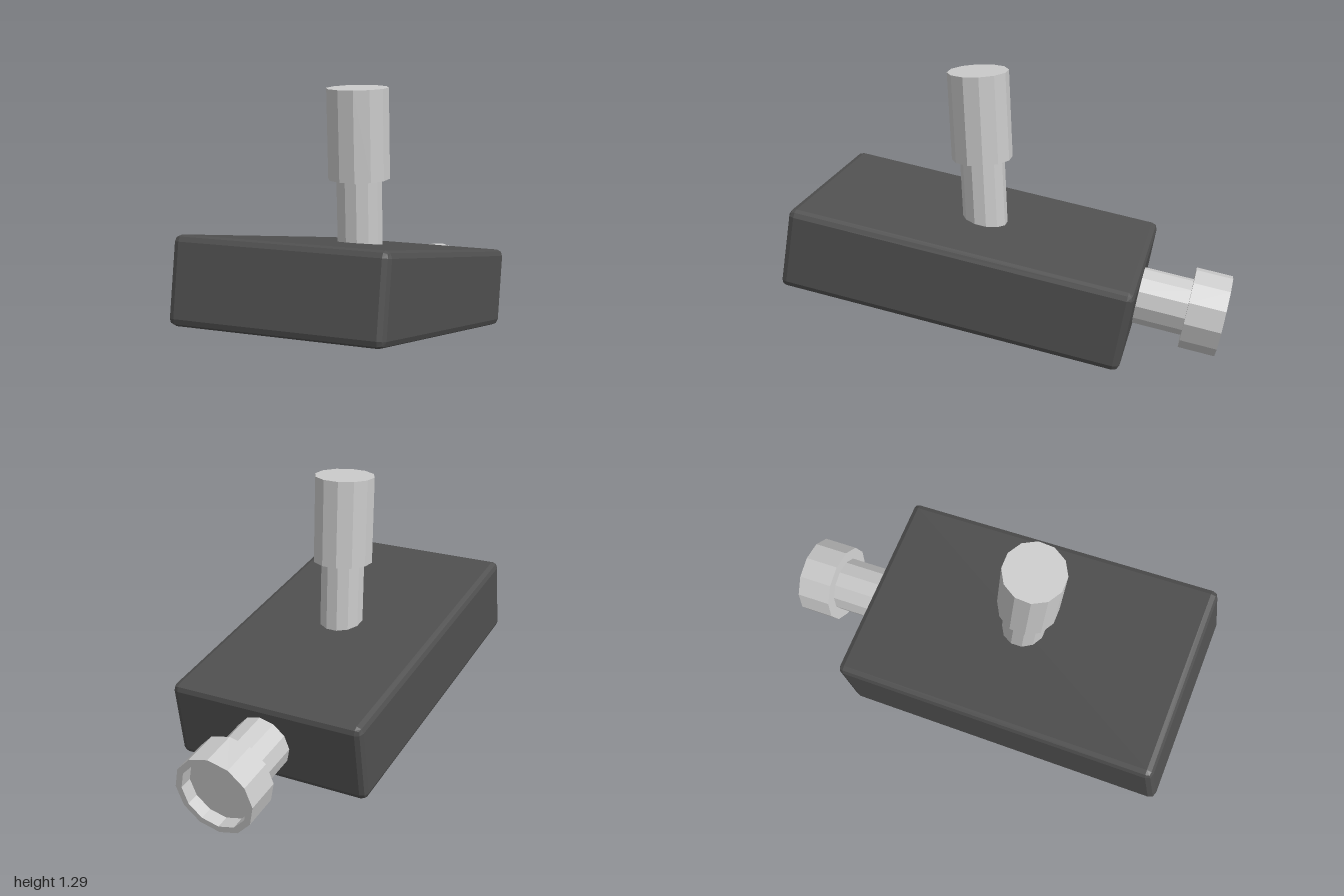
import * as THREE from 'three';
import { RoundedBoxGeometry } from 'three/addons/geometries/RoundedBoxGeometry.js';

const SIDES = 12;
const rad = THREE.MathUtils.degToRad;

export function createModel() {
  const model = new THREE.Group();
  model.name = 'tiltedBlockWithFittings';
  const grey = new THREE.MeshStandardMaterial({ color: 0xcccccc, flatShading: true });
  const dark = new THREE.MeshStandardMaterial({ color: 0x505050, flatShading: true });

  // Faceted turned part from a profile of [radius, height] running bottom to top
  const turned = (name, profile, parent) => {
    const points = profile.map(([r, y]) => new THREE.Vector2(r, y));
    const mesh = new THREE.Mesh(new THREE.LatheGeometry(points, SIDES), grey);
    mesh.name = name;
    parent.add(mesh);
    return mesh;
  };

  // Block, with its front end raised
  const body = new THREE.Group();
  body.name = 'body';
  body.position.set(0, 0.405, 0.2);
  body.rotation.x = rad(-10);
  model.add(body);
  const block = new THREE.Mesh(new RoundedBoxGeometry(0.95, 0.375, 1.574, 1, 0.03), dark);
  block.name = 'block';
  body.add(block);

  // Rear connector, in line with the block and pointing backwards
  const connector = new THREE.Group();
  connector.name = 'rearConnector';
  connector.position.set(0.016, -0.003, 0);
  connector.rotation.x = -Math.PI / 2;
  body.add(connector);
  turned('connectorStem', [[0, 0.77], [0.133, 0.77], [0.133, 1.03], [0, 1.03]], connector);
  // Collar with an open, recessed end
  turned('connectorCollar', [
    [0, 1.017], [0.19, 1.017], [0.19, 1.187], [0.16, 1.187], [0.16, 1.125], [0, 1.125],
  ], connector);

  // Upright post, leaning slightly forwards
  const post = new THREE.Group();
  post.name = 'post';
  post.position.set(0.018, 0.884, 0.168);
  post.rotation.x = rad(2.3);
  model.add(post);
  const parts = [
    turned('postStem', [[0, -0.34], [0.103, -0.34], [0.103, 0.02], [0, 0.02]], post),
    turned('postSleeve', [[0, 0], [0.14, 0], [0.14, 0.406], [0, 0.406]], post),
  ];
  for (const part of parts) part.rotation.y = Math.PI / SIDES;

  return model;
}
